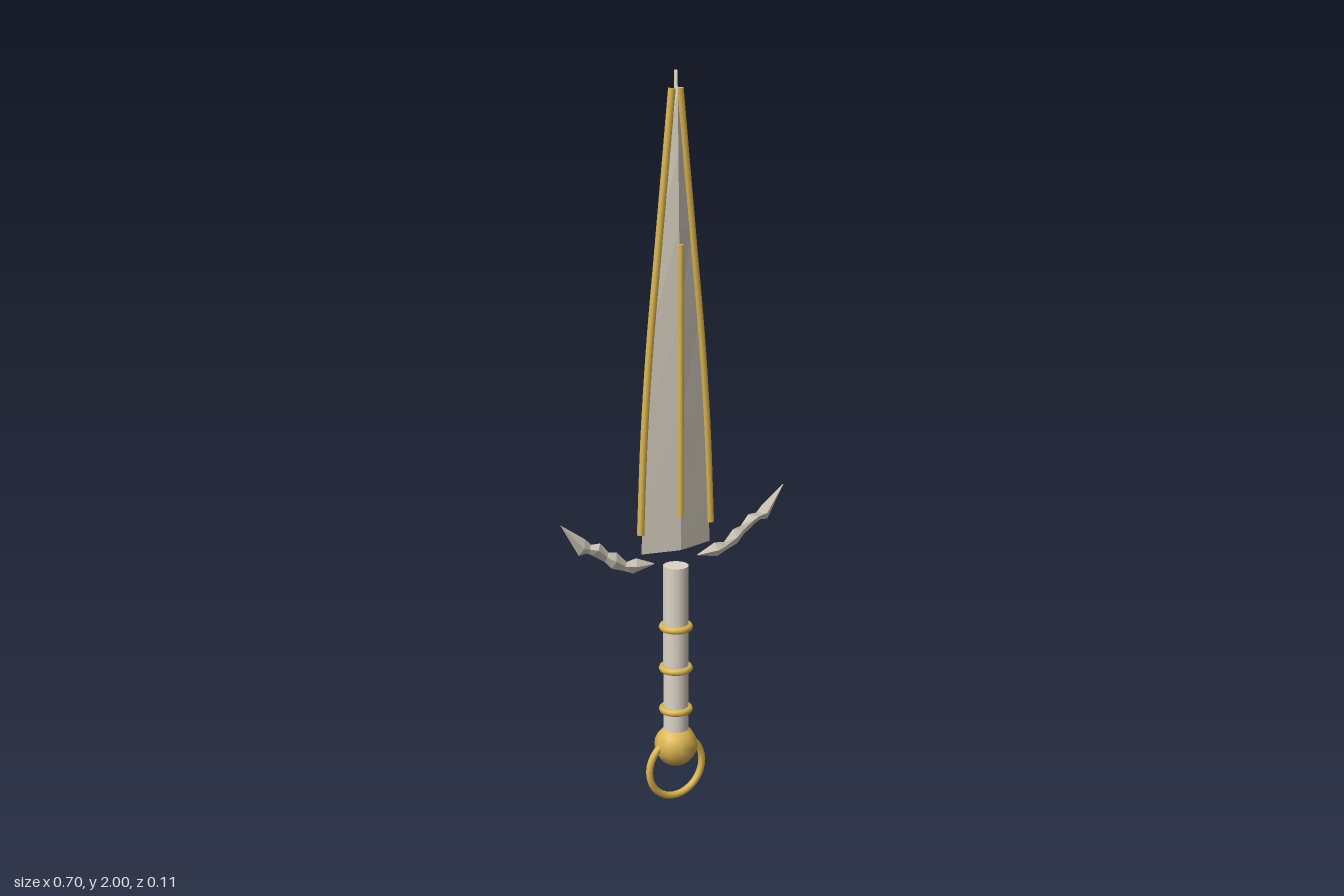
import * as THREE from 'three';

const steel = new THREE.MeshStandardMaterial({ color: 0xddd5c6, flatShading: true });
const grip = new THREE.MeshStandardMaterial({ color: 0xddd5c6 });
const gold = new THREE.MeshStandardMaterial({ color: 0xddb650 });

// Skin a list of equal-sized rings of [x, y, z] points and close both ends
function loft(rings) {
  const n = rings[0].length, last = (rings.length - 1) * n, index = [];
  for (let i = 0; i < rings.length - 1; i++) {
    for (let j = 0; j < n; j++) {
      const a = i * n + j, b = i * n + (j + 1) % n;
      index.push(a, b, b + n, a, b + n, a + n);
    }
  }
  for (let j = 1; j < n - 1; j++) {
    index.push(0, j + 1, j, last, last + j, last + j + 1);
  }
  const g = new THREE.BufferGeometry();
  g.setAttribute('position', new THREE.Float32BufferAttribute(rings.flat(2), 3));
  g.setIndex(index);
  const flat = g.toNonIndexed();
  flat.computeVertexNormals();
  return flat;
}

export function createModel() {
  const group = new THREE.Group();
  const add = (name, geometry, material, x = 0, y = 0, z = 0) => {
    const mesh = new THREE.Mesh(geometry, material);
    mesh.name = name;
    mesh.position.set(x, y, z);
    group.add(mesh);
    return mesh;
  };

  // Blade: diamond sections [y, half width, half thickness]
  const blade = [
    [0.735, 0.108, 0.025], [0.85, 0.106, 0.024], [1.1, 0.093, 0.022], [1.35, 0.072, 0.019],
    [1.6, 0.046, 0.016], [1.8, 0.024, 0.012], [1.95, 0.006, 0.009], [2, 0.002, 0.008],
  ];
  add('blade', loft(blade.map(([y, w, t]) => [[0, y, t], [w, y, 0], [0, y, -t], [-w, y, 0]])), steel);

  // Gold rims along both cutting edges
  for (const s of [1, -1]) {
    const path = new THREE.CatmullRomCurve3(
      [[0.111, 0.79], [0.099, 1.05], [0.08, 1.3], [0.054, 1.55], [0.03, 1.78], [0.012, 1.955]]
        .map(([x, y]) => new THREE.Vector3(s * x, y, 0)));
    const rim = add(s > 0 ? 'leftRim' : 'rightRim', new THREE.TubeGeometry(path, 30, 0.01, 8), gold);
    // End discs close the rim
    for (const [t, dir] of [[0, -1], [1, 1]]) {
      const cap = new THREE.Mesh(new THREE.CircleGeometry(0.01, 8), gold);
      cap.name = 'rimEnd';
      cap.position.copy(path.getPointAt(t));
      cap.lookAt(cap.position.clone().addScaledVector(path.getTangentAt(t), dir));
      rim.add(cap);
    }
  }

  // Gold ridge down the middle of each blade face
  for (const s of [1, -1]) {
    add(s > 0 ? 'frontRidge' : 'backRidge',
      new THREE.CylinderGeometry(0.008, 0.008, 0.73, 8), gold, 0, 1.195, s * 0.024);
  }

  // Jagged guard wings: [top x, top y, bottom x, bottom y, half thickness]
  const wing = [
    [0.07, 0.704, 0.07, 0.7, 0.002], [0.125, 0.728, 0.135, 0.687, 0.013],
    [0.155, 0.723, 0.165, 0.7, 0.004], [0.185, 0.755, 0.2, 0.712, 0.012],
    [0.21, 0.76, 0.222, 0.735, 0.004], [0.235, 0.789, 0.26, 0.76, 0.013],
    [0.262, 0.79, 0.275, 0.768, 0.005], [0.28, 0.808, 0.3, 0.766, 0.013],
    [0.352, 0.858, 0.352, 0.856, 0.001],
  ];
  for (const s of [1, -1]) {
    const rings = wing.map(([tx, ty, bx, by, t]) => {
      const mx = s * (tx + bx) / 2, my = (ty + by) / 2;
      return [[s * tx, ty, 0], [mx, my, s * t], [s * bx, by, 0], [mx, my, -s * t]];
    });
    add(s > 0 ? 'leftGuard' : 'rightGuard', loft(rings), steel);
  }

  // Handle with three gold bands
  add('handle', new THREE.CylinderGeometry(0.035, 0.035, 0.5, 16), grip, 0, 0.435, 0);
  for (const y of [0.27, 0.39, 0.51]) {
    add('handleBand', new THREE.TorusGeometry(0.037, 0.01, 8, 24), gold, 0, y, 0).rotation.x = Math.PI / 2;
  }

  // Pommel ball and hanging ring
  add('pommel', new THREE.SphereGeometry(0.06, 10, 10), gold, 0, 0.163, 0);
  add('pommelRing', new THREE.TorusGeometry(0.086, 0.01, 8, 32), gold, 0, 0.097, 0);

  return group;
}
